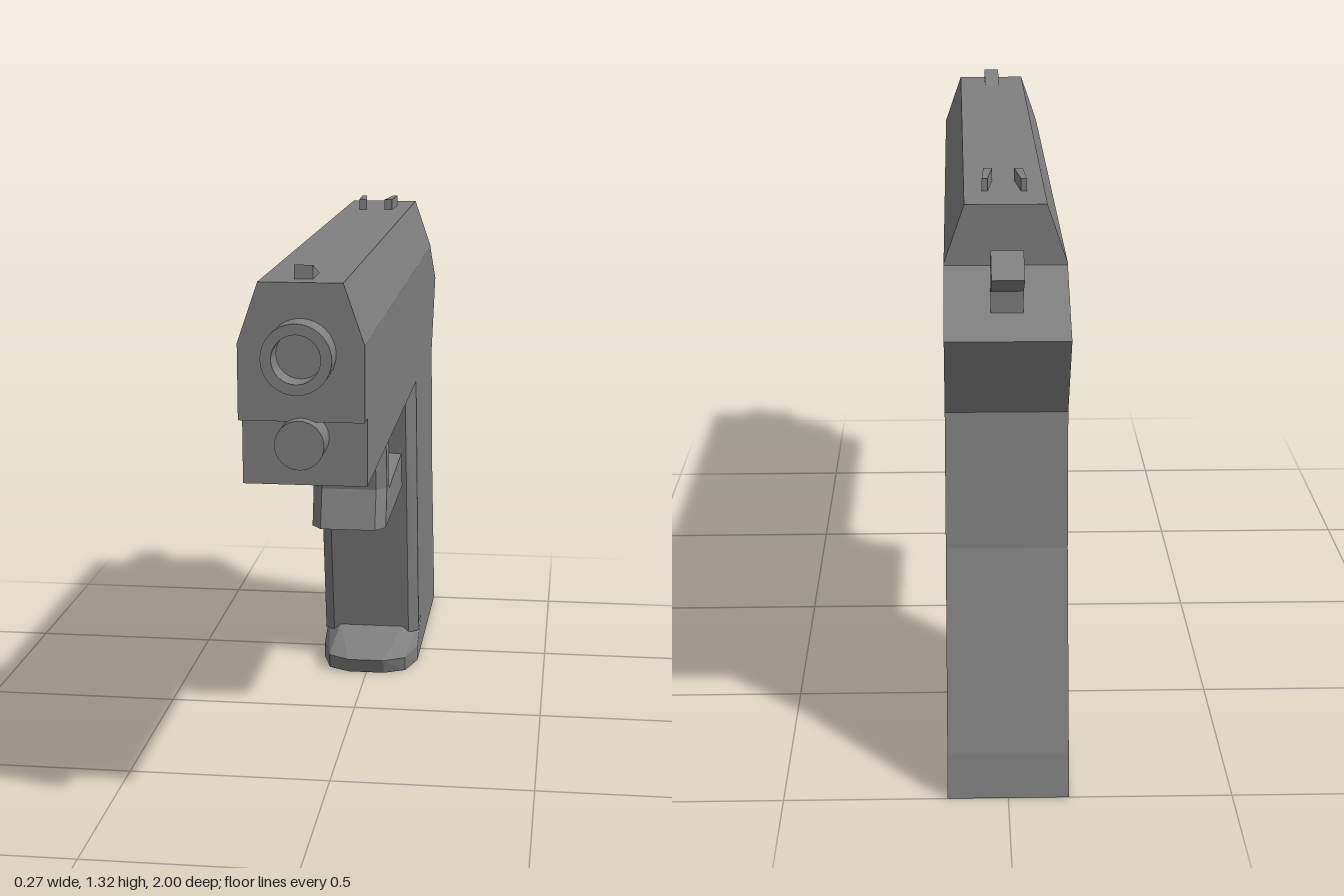
import * as THREE from 'three';
import { ConvexGeometry } from 'three/addons/geometries/ConvexGeometry.js';

export function createModel() {
  const model = new THREE.Group();
  const gunmetal = new THREE.MeshStandardMaterial({ color: 0x808080 });
  gunmetal.name = 'gunmetal grey';

  function add(name, geometry, x = 0, y = 0, z = 0) {
    const mesh = new THREE.Mesh(geometry, gunmetal);
    mesh.name = name;
    mesh.position.set(x, y, z);
    model.add(mesh);
    return mesh;
  }
  const shapeOf = (pts) => new THREE.Shape(pts.map(([a, b]) => new THREE.Vector2(a, b)));

  // Side profile of [z, y] points, extruded symmetrically across x
  function profile(pts, halfWidth) {
    const g = new THREE.ExtrudeGeometry(shapeOf(pts), { depth: halfWidth * 2, bevelEnabled: false });
    g.translate(0, 0, -halfWidth);
    g.rotateY(-Math.PI / 2);
    return g;
  }
  // Convex solid from [x, y, z] points mirrored in x
  const hull = (pts) => new ConvexGeometry(pts.flatMap(([x, y, z]) =>
    [new THREE.Vector3(x, y, z), new THREE.Vector3(-x, y, z)]));

  // Frame and grip in one profile
  add('frameAndGrip', profile([
    [0.88, 0.845], [0.88, 0.995], [-0.73, 0.995], [-0.73, 1.155], [-0.92, 1.04],
    [-0.81, 0.845], [-0.85, 0.54], [-0.98, 0.1], [-1, 0], [-0.52, 0],
    [-0.52, 0.1], [-0.43, 0.1], [-0.285, 0.845],
  ], 0.135));

  // Slide with bevelled top edges
  add('slide', new THREE.ExtrudeGeometry(shapeOf([
    [-0.135, 0.995], [0.135, 0.995], [0.135, 1.16], [0.09, 1.29], [-0.09, 1.29], [-0.135, 1.16],
  ]), { depth: 1.66, bevelEnabled: false }), 0, 0, -0.73);

  // Chamfered front of the grip
  add('gripFrontStrap', hull([
    [0.108, 0.845, -0.25], [0.135, 0.845, -0.285], [0.108, 0.845, -0.32],
    [0.108, 0.08, -0.407], [0.135, 0.08, -0.434], [0.108, 0.08, -0.5],
  ]));

  // Flared lip under the grip
  add('magazineLip', hull([
    [0.05, 0, -0.28], [0.108, 0, -0.31], [0.135, 0, -0.4], [0.135, 0, -0.52],
    [0.05, 0.043, -0.26], [0.108, 0.043, -0.295], [0.135, 0.043, -0.4],
    [0.09, 0.1, -0.405], [0.135, 0.1, -0.52],
  ]));

  // Trigger guard
  add('triggerGuard', profile([
    [0.148, 0.845], [0.118, 0.785], [0.09, 0.64], [0.115, 0.54], [-0.37, 0.54],
    [-0.35, 0.64], [-0.3, 0.64], [0.035, 0.625], [0.055, 0.8], [0.01, 0.845],
  ], 0.095));

  // Chamfered front face of the guard, one block between each pair of levels
  const guardLevels = [[0.845, 0.178, 0.148], [0.785, 0.145, 0.118], [0.64, 0.117, 0.09], [0.54, 0.147, 0.115]];
  for (let i = 0; i < 3; i++) {
    add('guardFront', hull([guardLevels[i], guardLevels[i + 1]].flatMap(([y, front, side]) =>
      [[0.07, y, front], [0.095, y, side], [0.07, y, side - 0.01]])));
  }

  // Trigger
  add('trigger', profile([
    [-0.1, 0.85], [-0.165, 0.815], [-0.19, 0.76], [-0.2, 0.71], [-0.185, 0.665],
    [-0.23, 0.69], [-0.238, 0.76], [-0.235, 0.85],
  ], 0.035));

  // Hollow barrel muzzle
  const muzzle = new THREE.LatheGeometry([
    [0.075, 0], [0.075, 0.07], [0.075, 0.07], [0.052, 0.07], [0.052, 0.07],
    [0.052, 0.005], [0.052, 0.005], [0, 0.005],
  ].map(([r, h]) => new THREE.Vector2(r, h)), 32);
  muzzle.rotateX(Math.PI / 2);
  add('muzzle', muzzle, 0, 1.14, 0.93);

  // Guide rod below the barrel
  const rod = new THREE.CylinderGeometry(0.053, 0.053, 0.085, 32);
  rod.rotateX(Math.PI / 2);
  add('guideRod', rod, 0, 0.95, 0.9175);

  // Sights
  add('frontSight', profile([[0.88, 1.285], [0.88, 1.32], [0.78, 1.29], [0.78, 1.285]], 0.02));
  for (const s of [-1, 1]) {
    const blade = new THREE.ExtrudeGeometry(shapeOf([
      [s * 0.025, 0.49], [s * 0.045, 0.49], [s * 0.05, 0.6], [s * 0.037, 0.6],
    ]), { depth: 0.035, bevelEnabled: false });
    blade.rotateX(-Math.PI / 2);
    add('rearSightBlade', blade, 0, 1.283, 0);
  }

  // Hammer
  add('hammer', profile([
    [-0.74, 1.13], [-0.77, 1.178], [-0.845, 1.218], [-0.928, 1.175], [-0.85, 1.13], [-0.85, 1.06],
  ], 0.035));

  return model;
}
